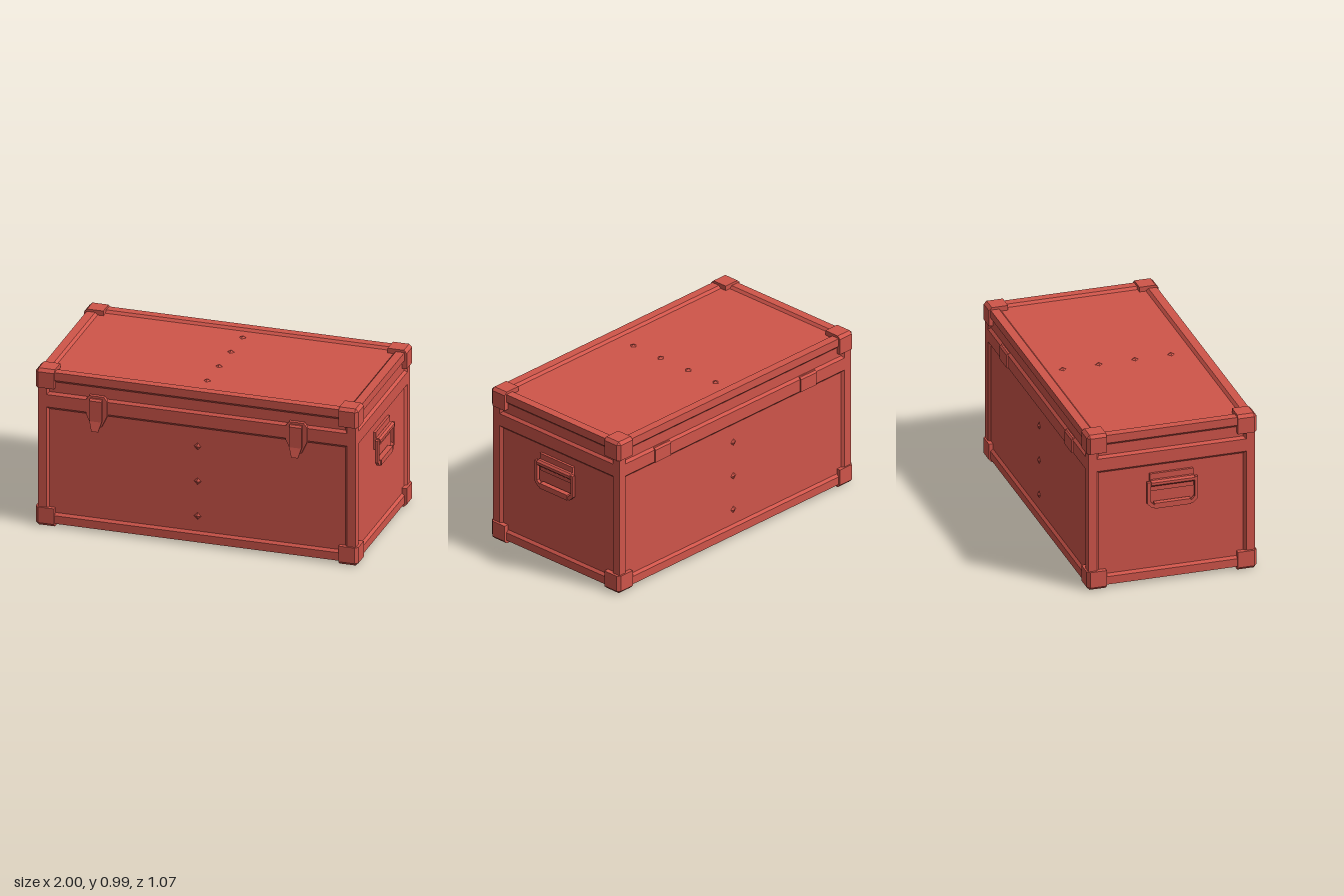
import * as THREE from 'three';
import { ConvexGeometry } from 'three/addons/geometries/ConvexGeometry.js';

const red = new THREE.MeshStandardMaterial({ color: 0xd0554a });
red.name = 'chest red';

const HX = 0.97, HZ = 0.5075, Y0 = 0.02, Y1 = 0.975; // shell half sizes and heights
const DEPTH = 0.015, BEVEL = 0.015;

function add(parent, name, geometry, x = 0, y = 0, z = 0) {
  const mesh = new THREE.Mesh(geometry, red);
  mesh.name = name;
  mesh.position.set(x, y, z);
  parent.add(mesh);
  return mesh;
}

function polygon(points) {
  return new THREE.Shape(points.map(([x, y]) => new THREE.Vector2(x, y)));
}

function extrude(points, depth, hole) {
  const shape = polygon(points);
  if (hole) shape.holes.push(polygon(hole));
  return new THREE.ExtrudeGeometry(shape, { depth, bevelEnabled: false });
}

const rect = (w, a, b) => [[-w, a], [w, a], [w, b], [-w, b]];

// Sunken panel: four sloping sides and a floor
function trayGeometry(w, a, b) {
  const outer = rect(w, a, b).map(([x, y]) => [x, y, 0]);
  const inner = rect(w - BEVEL, a + BEVEL, b - BEVEL).map(([x, y]) => [x, y, -DEPTH]);
  const pos = [];
  const quad = (p, q, r, s) => pos.push(...p, ...q, ...r, ...p, ...r, ...s);
  for (let i = 0; i < 4; i++) {
    const j = (i + 1) % 4;
    quad(outer[i], outer[j], inner[j], inner[i]);
  }
  quad(...inner);
  const g = new THREE.BufferGeometry();
  g.setAttribute('position', new THREE.Float32BufferAttribute(pos, 3));
  g.computeVertexNormals();
  return g;
}

// One wall of the chest with its sunken panels and studs, facing +z
function wall(name, w, y0, y1, panels, studs) {
  const group = new THREE.Group();
  group.name = name;
  const frame = polygon(rect(w, y0, y1));
  for (const [pw, a, b] of panels) {
    frame.holes.push(polygon(rect(pw, a, b)));
    add(group, 'sunkenPanel', trayGeometry(pw, a, b));
  }
  add(group, 'frame', new THREE.ShapeGeometry(frame));
  for (const y of studs) {
    const stud = new THREE.ConeGeometry(0.022, 0.012, 4).toNonIndexed().rotateX(Math.PI / 2);
    stud.computeVertexNormals();
    add(group, 'stud', stud, 0, y, -DEPTH + 0.006);
  }
  return group;
}

// Corner cap with chamfered outer edges
function cornerGeometry(sx, sy, sz) {
  const s = 0.117, k = s - 0.018, pts = [new THREE.Vector3()];
  for (const u of [0, k]) for (const v of [0, k]) {
    pts.push(new THREE.Vector3(s, u, v), new THREE.Vector3(u, s, v), new THREE.Vector3(u, v, s));
  }
  return new ConvexGeometry(pts.map((p) => p.multiply(new THREE.Vector3(sx, sy, sz))));
}

function latch() {
  const group = new THREE.Group();
  group.name = 'latch';
  const plate = [[-0.03, 0.67], [0.03, 0.67], [0.065, 0.745], [0.065, 0.835],
    [0.045, 0.862], [-0.045, 0.862], [-0.065, 0.835], [-0.065, 0.745]];
  add(group, 'latchPlate', extrude(plate, 0.027), 0, 0, HZ - 0.02);
  // Side profile as (outward, up), swept across the width
  const lever = extrude([[-0.02, 0.71], [0.016, 0.71], [0.034, 0.65], [0.042, 0.652],
    [0.028, 0.71], [0.028, 0.838], [0.016, 0.848], [-0.02, 0.848]], 0.074);
  lever.translate(0, 0, -0.037).rotateY(-Math.PI / 2);
  const p = lever.attributes.position;
  for (let i = 0; i < p.count; i++) if (p.getY(i) < 0.7) p.setX(i, p.getX(i) * 0.55);
  lever.computeVertexNormals();
  add(group, 'latchLever', lever, 0, 0, HZ);
  return group;
}

function hinge() {
  const group = new THREE.Group();
  group.name = 'hinge';
  const plate = extrude([[-0.035, 0.738], [-0.022, 0.738], [0.008, 0.75], [0.008, 0.83], [-0.002, 0.842],
    [-0.035, 0.842]], 0.13);
  plate.translate(0, 0, -0.065).rotateY(Math.PI / 2);
  add(group, 'hingePlate', plate, 0, 0, -HZ);
  return group;
}

// Drop handle, facing +z
function sideHandle() {
  const group = new THREE.Group();
  group.name = 'sideHandle';
  add(group, 'mountPlate', new THREE.BoxGeometry(0.264, 0.11, 0.016), 0, 0.635, -0.008);
  const clip = new THREE.CylinderGeometry(0.021, 0.021, 0.264, 8).toNonIndexed();
  clip.rotateY(Math.PI / 8).rotateZ(Math.PI / 2);
  clip.computeVertexNormals();
  add(group, 'handleClip', clip, 0, 0.635, 0.009);
  // Hanging loop with cut lower corners
  const loop = (w, top, bottom, c) => [[-w + c, bottom], [w - c, bottom], [w, bottom + c],
    [w, top], [-w, top], [-w, bottom + c]];
  add(group, 'handleLoop',
    extrude(loop(0.154, 0.645, 0.48, 0.028), 0.02, loop(0.134, 0.625, 0.5, 0.02)), 0, 0, 0.002);
  add(group, 'handleGrip', new THREE.BoxGeometry(0.22, 0.034, 0.032), 0, 0.493, 0.01);
  return group;
}

export function createModel() {
  const chest = new THREE.Group();
  chest.name = 'storageChest';
  const body = new THREE.Group();
  body.name = 'body';
  body.position.z = -0.0125;
  chest.add(body);

  // Upright walls
  for (const [name, w, dist, turn, studs] of [
    ['frontWall', HX, HZ, 0, [0.18, 0.4, 0.62]],
    ['leftWall', HZ, HX, 1, []],
    ['backWall', HX, HZ, 2, [0.18, 0.4, 0.62]],
    ['rightWall', HZ, HX, 3, []],
  ]) {
    const pw = w - 0.052;
    const g = wall(name, w, Y0, Y1, [[pw, 0.07, 0.752], [pw, 0.83, 0.925]], studs);
    g.rotation.y = turn * Math.PI / 2;
    g.position.set(0, 0, dist).applyEuler(g.rotation);
    body.add(g);
  }

  // Lid top and base
  const top = wall('lidTop', HX, -HZ, HZ, [[HX - 0.052, -HZ + 0.052, HZ - 0.052]],
    [-0.31, -0.09, 0.13, 0.35]);
  top.rotation.x = -Math.PI / 2;
  top.position.y = Y1;
  const base = wall('base', HX, -HZ, HZ, [], []);
  base.rotation.x = Math.PI / 2;
  base.position.y = Y0;
  body.add(top, base);

  // Corner caps
  for (const sx of [-1, 1]) for (const sy of [-1, 1]) for (const sz of [-1, 1]) {
    add(body, 'cornerCap', cornerGeometry(sx, sy, sz),
      sx * 0.868, sy > 0 ? 0.873 : 0.117, sz * 0.4005);
  }

  // Latches, hinges and handles in pairs
  for (const s of [-1, 1]) {
    const front = latch(), back = hinge(), handle = sideHandle();
    front.position.x = back.position.x = s * 0.61;
    handle.position.x = s * 0.97;
    handle.rotation.y = s * Math.PI / 2;
    body.add(front, back, handle);
  }
  return chest;
}
